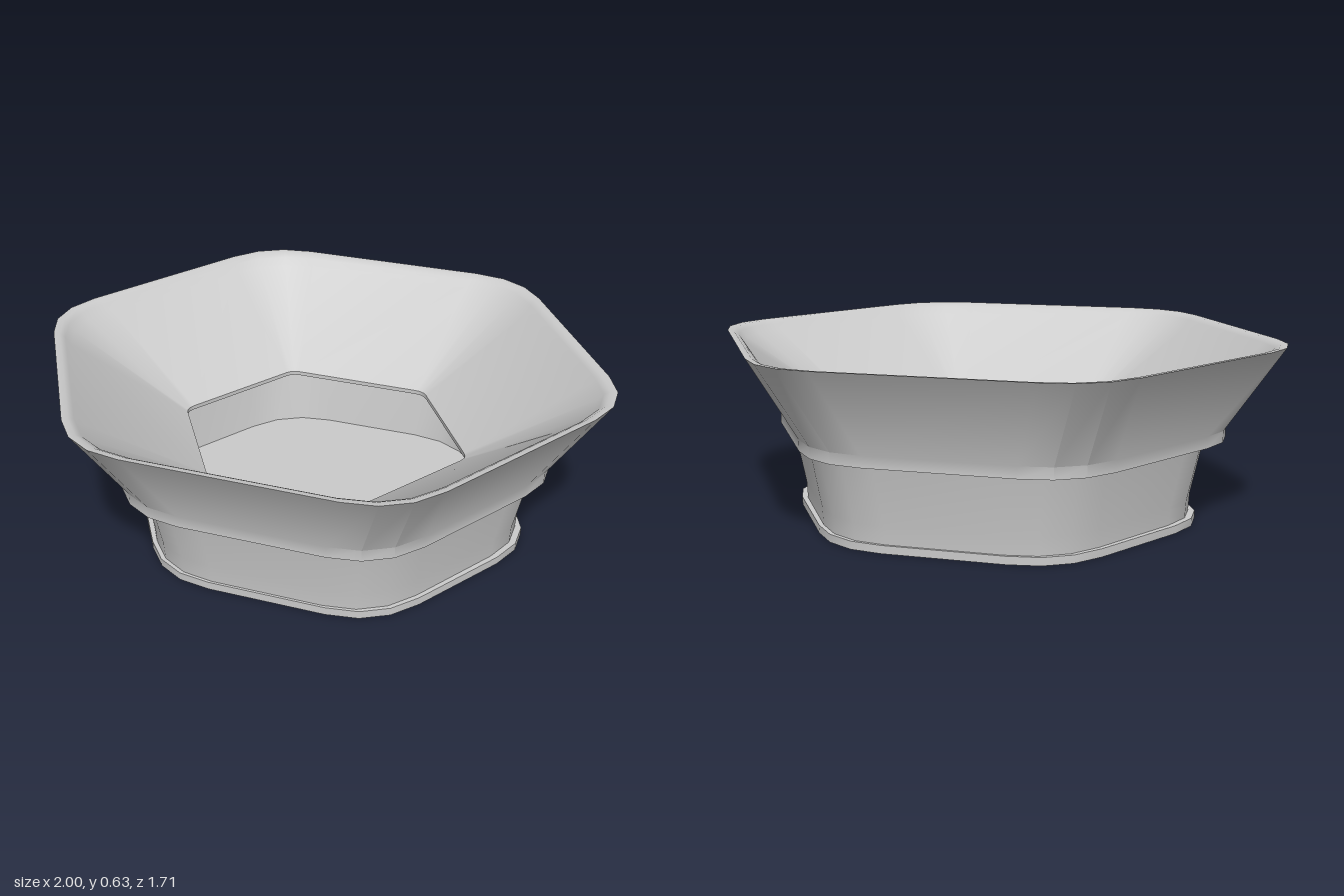
import * as THREE from 'three';
import { toCreasedNormals } from 'three/addons/utils/BufferGeometryUtils.js';

const STEPS = 3; // segments per rounded corner

// Hexagon outline with rounded corners: r = corner reach in x, a = reach in z
function hexagon(r, a, cut) {
  const corners = [[r, 0], [r / 2, a], [-r / 2, a], [-r, 0], [-r / 2, -a], [r / 2, -a]]
    .map(([x, z]) => new THREE.Vector2(x, z));
  const points = [];
  corners.forEach((c, i) => {
    const toward = (n) => n.clone().sub(c).setLength(cut).add(c);
    const from = toward(corners[(i + 5) % 6]);
    const to = toward(corners[(i + 1) % 6]);
    const curve = new THREE.QuadraticBezierCurve(from, c, to);
    points.push(...curve.getPoints(STEPS));
  });
  return points;
}

// Skin through hexagon sections [y, r, a, cut], listed bottom-out-up-in
function loft(name, sections, material, closed = false) {
  const positions = [], index = [];
  const count = 6 * (STEPS + 1);
  for (const [y, r, a, cut] of sections) {
    for (const p of hexagon(r, a, cut)) positions.push(p.x, y, p.y);
  }
  const rings = sections.length;
  for (let i = 0; i < (closed ? rings : rings - 1); i++) {
    const lower = i * count, upper = ((i + 1) % rings) * count;
    for (let j = 0; j < count; j++) {
      const k = (j + 1) % count;
      index.push(lower + j, upper + j, lower + k, upper + j, upper + k, lower + k);
    }
  }
  const geometry = new THREE.BufferGeometry();
  geometry.setAttribute('position', new THREE.Float32BufferAttribute(positions, 3));
  geometry.setIndex(index);
  const mesh = new THREE.Mesh(toCreasedNormals(geometry, 0.6), material);
  mesh.name = name;
  return mesh;
}

export function createModel() {
  const group = new THREE.Group();
  group.name = 'hexagonalPlanter';
  const material = new THREE.MeshStandardMaterial({ color: 0xcccccc, side: THREE.DoubleSide });

  // Flared bowl: underside, ledge band, outer wall, rounded rim, sloping inner wall
  const bowl = loft('flaredBowl', [
    [0.3, 0.53, 0.41, 0.03],
    [0.3, 0.86, 0.69, 0.18],
    [0.34, 0.86, 0.69, 0.18],
    [0.63, 1.055, 0.855, 0.18],
    [0.628, 1.03, 0.835, 0.18],
    [0.615, 1.01, 0.815, 0.18],
    [0.59, 0.99, 0.795, 0.18],
    [0.315, 0.53, 0.41, 0.03],
  ], material, true);

  // Hollow lower body with a thin floor
  const body = loft('lowerBody', [
    [0.005, 0.001, 0.001, 0.0003],
    [0.005, 0.75, 0.598, 0.18],
    [0.09, 0.755, 0.603, 0.18],
    [0.3, 0.8, 0.64, 0.18],
    [0.3, 0.77, 0.615, 0.18],
    [0.015, 0.725, 0.575, 0.18],
    [0.015, 0.001, 0.001, 0.0003],
  ], material);

  // Flat foot flange
  const foot = loft('footFlange', [
    [0, 0.001, 0.001, 0.0003],
    [0, 0.775, 0.608, 0.18],
    [0.028, 0.775, 0.608, 0.18],
    [0.028, 0.74, 0.59, 0.18],
  ], material);

  // The lower parts sit slightly off centre
  for (const part of [body, foot]) part.position.set(0.01, 0, -0.008);

  group.add(bowl, body, foot);
  return group;
}
